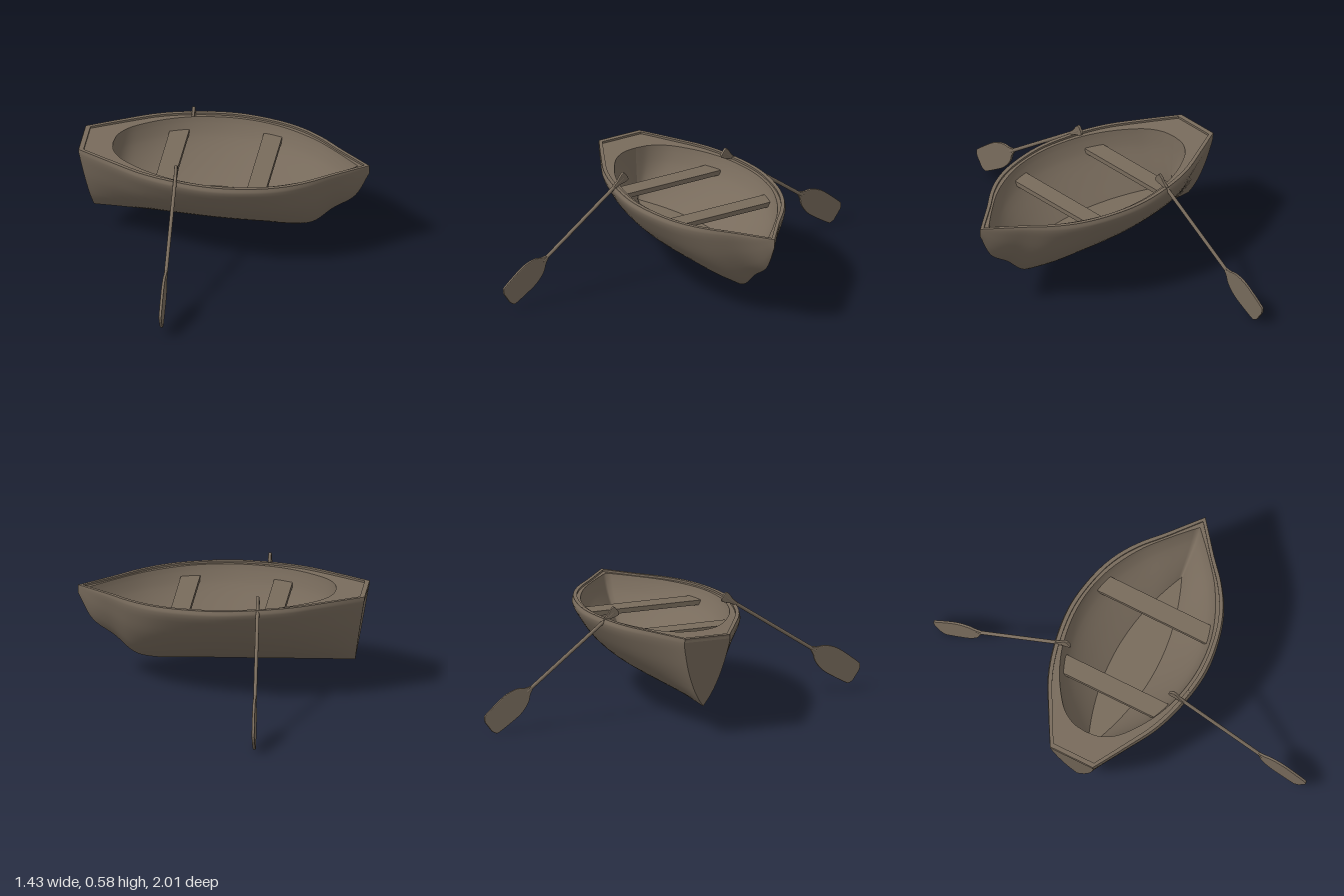
import * as THREE from 'three';

const wood = new THREE.MeshStandardMaterial({ color: 0x786b5c, side: THREE.DoubleSide });
wood.name = 'weatheredWood';

const add = (parent, name, geometry) => {
  const m = new THREE.Mesh(geometry, wood);
  m.name = name;
  parent.add(m);
  return m;
};

// Skin a surface through rows of [x, y, z] points
function skin(rows, flip = false) {
  const n = rows[0].length, index = [];
  for (let r = 0; r < rows.length - 1; r++)
    for (let c = 0; c < n - 1; c++) {
      const a = r * n + c, b = a + 1, d = a + n, e = d + 1;
      if (flip) index.push(a, b, d, b, e, d);
      else index.push(a, d, b, b, d, e);
    }
  const g = new THREE.BufferGeometry();
  g.setAttribute('position', new THREE.Float32BufferAttribute(rows.flat(2), 3));
  g.setIndex(index);
  g.computeVertexNormals();
  return g;
}

const spline = (pts) => new THREE.CatmullRomCurve3(pts.map(([x, y, z]) => new THREE.Vector3(x, y, z)));

// Height of the gunwale along the boat
const sheer = (x) => 0.53 - 0.033 * Math.pow(Math.max(0, (x + 0.72) / 1.4), 1.7);

// Gunwale (x, half breadth) and matching keel and stem points (x, y)
const gunwale = spline([[-0.715, 0.12], [-0.55, 0.215], [-0.38, 0.305], [-0.2, 0.358], [0, 0.38], [0.2, 0.35],
  [0.33, 0.302], [0.44, 0.232], [0.55, 0.135], [0.64, 0.06], [0.712, 0]].map(([x, z]) => [x, 0, z]));
const keel = spline([[-0.655, 0.16], [-0.5, 0.157], [-0.35, 0.153], [-0.18, 0.148], [0, 0.144], [0.18, 0.139],
  [0.33, 0.135], [0.43, 0.155], [0.53, 0.24], [0.64, 0.32], [0.712, 0.455]].map(([x, y]) => [x, y, 0]));
// Hull section: fraction of breadth, fraction of height
const section = spline([[0, 0, 0], [0.22, 0.11, 0], [0.44, 0.25, 0], [0.72, 0.5, 0], [0.9, 0.74, 0],
  [1, 0.93, 0], [0.975, 1, 0]]).getPoints(18);
// Cockpit opening (x, half breadth)
const opening = spline([[-0.56, 0], [-0.55, 0.07], [-0.51, 0.14], [-0.44, 0.2], [-0.33, 0.265], [-0.2, 0.312],
  [0, 0.337], [0.2, 0.308], [0.4, 0.215], [0.54, 0.105], [0.655, 0]].map(([x, z]) => [x, 0, z])).getPoints(50);

const mirrorLoop = (half) => [...half, ...half.slice(1, -1).reverse().map((p) => new THREE.Vector3(p.x, p.y, -p.z))];
const gunwaleLoop = (sx, sz) => {
  const half = gunwale.getPoints(50).map((p) => new THREE.Vector3(p.x * sx, 0, Math.max(0, p.z) * sz));
  return [...half, ...half.slice(0, -1).reverse().map((p) => new THREE.Vector3(p.x, 0, -p.z))];
};
const flat = (loop) => loop.map((p) => new THREE.Vector2(p.x, p.z));

// Flat outline with a hole, laid horizontally and bent to the sheer
function plank(outer, hole, depth, drop) {
  const shape = new THREE.Shape(flat(outer));
  shape.holes.push(new THREE.Path(flat(hole)));
  const g = depth
    ? new THREE.ExtrudeGeometry(shape, { depth, bevelEnabled: false })
    : new THREE.ShapeGeometry(shape);
  g.rotateX(Math.PI / 2);
  const p = g.attributes.position;
  for (let i = 0; i < p.count; i++) p.setY(i, p.getY(i) + sheer(p.getX(i)) - drop);
  g.computeVertexNormals();
  return g;
}

function hullRow(t, side) {
  const k = keel.getPoint(t), g = gunwale.getPoint(t), top = sheer(g.x);
  return section.map((s) => [
    THREE.MathUtils.lerp(k.x, g.x, s.y),
    THREE.MathUtils.lerp(k.y, top, s.y),
    side * Math.max(0, g.z) * s.x,
  ]);
}

function buildBoat() {
  const boat = new THREE.Group();
  boat.name = 'boat';

  // Outer planking, one skin per side
  for (const side of [1, -1]) {
    const rows = [];
    for (let i = 0; i <= 60; i++) rows.push(hullRow(i / 60, side));
    add(boat, side > 0 ? 'hullLeft' : 'hullRight', skin(rows, side < 0));
  }
  add(boat, 'transom', skin([hullRow(0, -1), hullRow(0, 1)], true));

  // Raised rim, then the side deck just below it
  add(boat, 'rim', plank(gunwaleLoop(0.998, 0.98), gunwaleLoop(0.965, 0.93), 0.02, 0));
  add(boat, 'deck', plank(gunwaleLoop(0.985, 0.955), mirrorLoop(opening), 0, 0.01));

  // Cockpit lining, from the opening down to a narrow pointed floor
  const loop = mirrorLoop(opening);
  loop.push(loop[0]);
  const floorY = 0.25;
  const base = loop.map((p) => {
    const x = THREE.MathUtils.lerp(-0.54, 0.46, (p.x + 0.56) / 1.215);
    return { x, z: Math.sign(p.z) * 0.11 * Math.max(0, 1 - ((x + 0.04) / 0.5) ** 2) };
  });
  const wall = spline([[0, 0, 0], [0.4, 0.3, 0], [0.8, 0.65, 0], [0.95, 0.88, 0], [1, 1, 0]]).getPoints(12);
  const rings = wall.map((w) => loop.map((p, i) => [
    THREE.MathUtils.lerp(base[i].x, p.x, w.x),
    THREE.MathUtils.lerp(floorY, sheer(p.x) - 0.01, w.y),
    THREE.MathUtils.lerp(base[i].z, p.z, w.x),
  ]));
  add(boat, 'cockpitLining', skin(rings));
  add(boat, 'floor', skin([base.map((b) => [b.x, floorY, 0]), base.map((b) => [b.x, floorY, b.z])]));

  // Two cross benches
  for (const [name, x, half] of [['rearSeat', -0.272, 0.28], ['frontSeat', 0.188, 0.3]]) {
    add(boat, name, new THREE.BoxGeometry(0.094, 0.024, half * 2)).position.set(x, 0.445, 0);
  }

  boat.position.z = -0.01;
  return boat;
}

// Thin plate from a half outline (along the oar, half width)
function paddlePlate(half, depth) {
  const curve = new THREE.SplineCurve(half.map(([x, y]) => new THREE.Vector2(x, y))).getPoints(30);
  const shape = new THREE.Shape([...curve, ...curve.slice().reverse().map((p) => new THREE.Vector2(p.x, -p.y))]);
  const g = new THREE.ExtrudeGeometry(shape, {
    depth, bevelEnabled: true, bevelThickness: 0.004, bevelSize: 0.004, bevelOffset: -0.004, bevelSegments: 2,
  });
  return g.translate(0, 0, -depth / 2);
}

// Oar running from grip to blade tip, blade standing on edge
function buildOar(name, from, to) {
  const oar = new THREE.Group();
  oar.name = name;
  const start = new THREE.Vector3(...from), end = new THREE.Vector3(...to);
  const length = start.distanceTo(end);
  const dir = end.clone().sub(start).normalize();
  const thin = new THREE.Vector3(1, 0, 0).addScaledVector(dir, -dir.x).normalize();
  const wide = thin.clone().cross(dir);

  const shaft = new THREE.CylinderGeometry(0.009, 0.009, length - 0.28, 12);
  shaft.rotateZ(-Math.PI / 2).translate((length - 0.28) / 2 + 0.02, 0, 0);
  add(oar, 'shaft', shaft);
  add(oar, 'grip', paddlePlate([[0, 0.016], [0.008, 0.026], [0.03, 0.022], [0.055, 0.013], [0.09, 0.009]], 0.008));
  const blade = paddlePlate([[0, 0.01], [0.025, 0.022], [0.055, 0.046], [0.1, 0.062], [0.15, 0.067],
    [0.26, 0.06], [0.28, 0.051], [0.29, 0.03]], 0.006);
  add(oar, 'blade', blade.translate(length - 0.29, 0, 0));

  oar.applyMatrix4(new THREE.Matrix4().makeBasis(dir, wide, thin).setPosition(start));
  return oar;
}

export function createModel() {
  const model = new THREE.Group();
  model.name = 'rowingBoat';
  model.add(buildBoat());
  model.add(buildOar('leftOar', [-0.203, 0.572, 0.273], [-0.172, 0.088, 0.985]));
  model.add(buildOar('rightOar', [-0.205, 0.562, -0.288], [-0.258, 0.05, -0.985]));
  return model;
}
